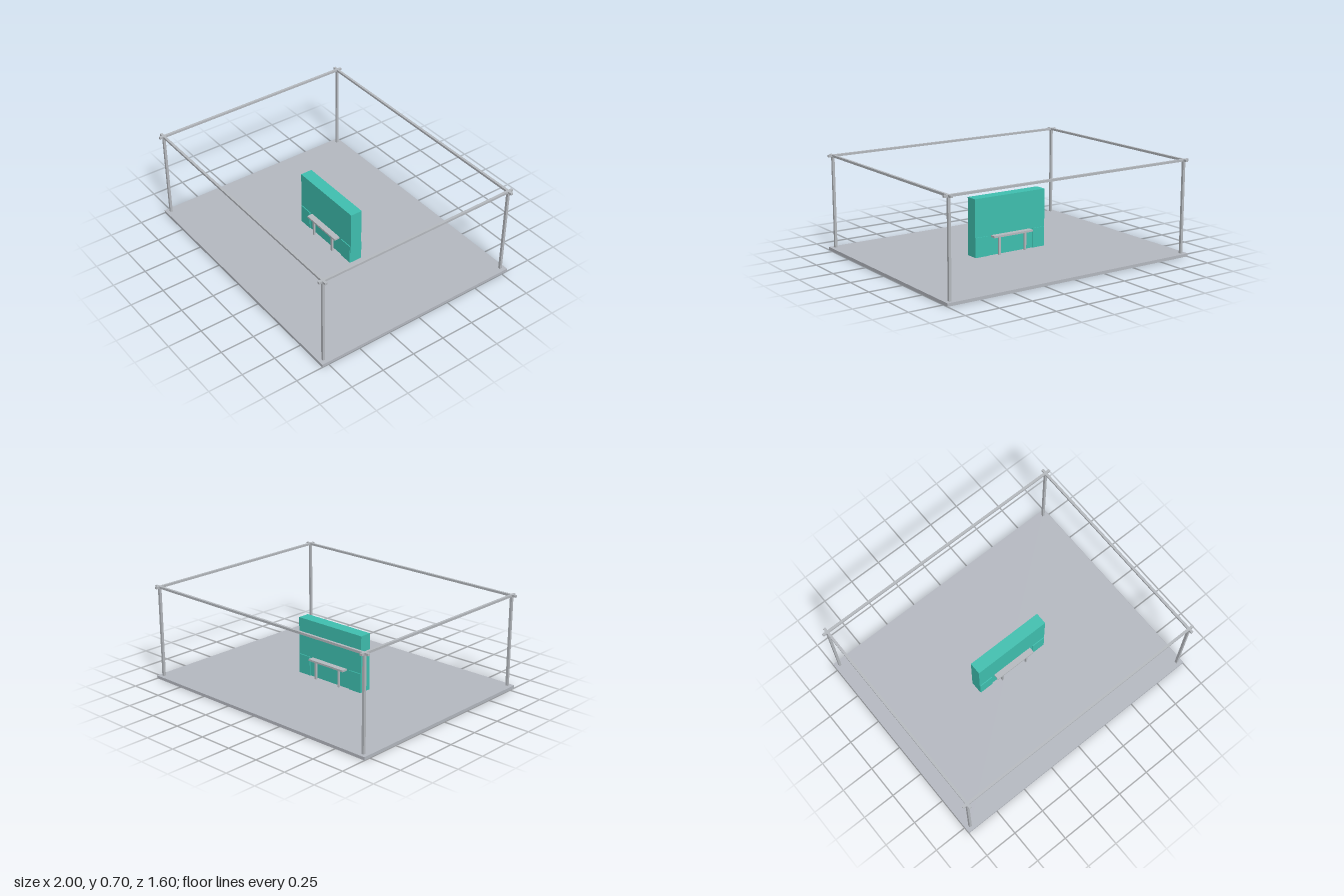
import * as THREE from 'three';

const gray = new THREE.MeshStandardMaterial({ color: 0xb6babf });
gray.name = 'light gray';
const floorGray = new THREE.MeshStandardMaterial({ color: 0xb5b9c1 });
floorGray.name = 'floor gray';
const teal = new THREE.MeshStandardMaterial({ color: 0x3fc0b0 });
teal.name = 'teal';

// Box given by its lower and upper bounds
function box(parent, name, material, [x0, y0, z0], [x1, y1, z1]) {
  const mesh = new THREE.Mesh(new THREE.BoxGeometry(x1 - x0, y1 - y0, z1 - z0), material);
  mesh.position.set((x0 + x1) / 2, (y0 + y1) / 2, (z0 + z1) / 2);
  mesh.name = name;
  parent.add(mesh);
}

export function createModel() {
  const model = new THREE.Group();
  model.name = 'exhibitionStand';

  box(model, 'floor', floorGray, [-1, 0, -0.8], [1, 0.022, 0.8]);

  // Open frame: corner posts and beams whose ends cross at the corners
  const frame = new THREE.Group();
  frame.name = 'frame';
  model.add(frame);
  const px = 0.963, pz = 0.766, r = 0.009, top = 0.7, under = 0.684;
  for (const s of [-1, 1]) {
    for (const t of [-1, 1]) {
      box(frame, 'post', gray, [s * px - r, 0.022, t * pz - r], [s * px + r, under, t * pz + r]);
    }
    box(frame, 'longBeam', gray, [-1, under, s * pz - r], [1, top, s * pz + r]);
    box(frame, 'sideBeam', gray, [s * px - r, under, -0.8], [s * px + r, top, 0.8]);
  }

  // Display wall reaching through the floor, with a low plinth at each end
  const wall = new THREE.Group();
  wall.name = 'displayWall';
  model.add(wall);
  box(wall, 'wallPanel', teal, [-0.298, -0.001, -0.045], [0.298, 0.442, 0.045]);
  for (const s of [-1, 1]) {
    box(wall, 'plinth', teal, [s * 0.242 - 0.052, 0.02, -0.051], [s * 0.242 + 0.052, 0.165, 0.051]);
  }

  // A narrow counter on each face of the wall
  for (const s of [-1, 1]) {
    const counter = new THREE.Group();
    counter.name = s > 0 ? 'frontCounter' : 'backCounter';
    model.add(counter);
    box(counter, 'counterTop', gray, [-0.165, 0.153, s * 0.066 - 0.023], [0.165, 0.167, s * 0.066 + 0.023]);
    for (const t of [-1, 1]) {
      box(counter, 'counterLeg', gray,
        [t * 0.11 - 0.007, 0.022, s * 0.069 - 0.007], [t * 0.11 + 0.007, 0.153, s * 0.069 + 0.007]);
    }
  }
  return model;
}
